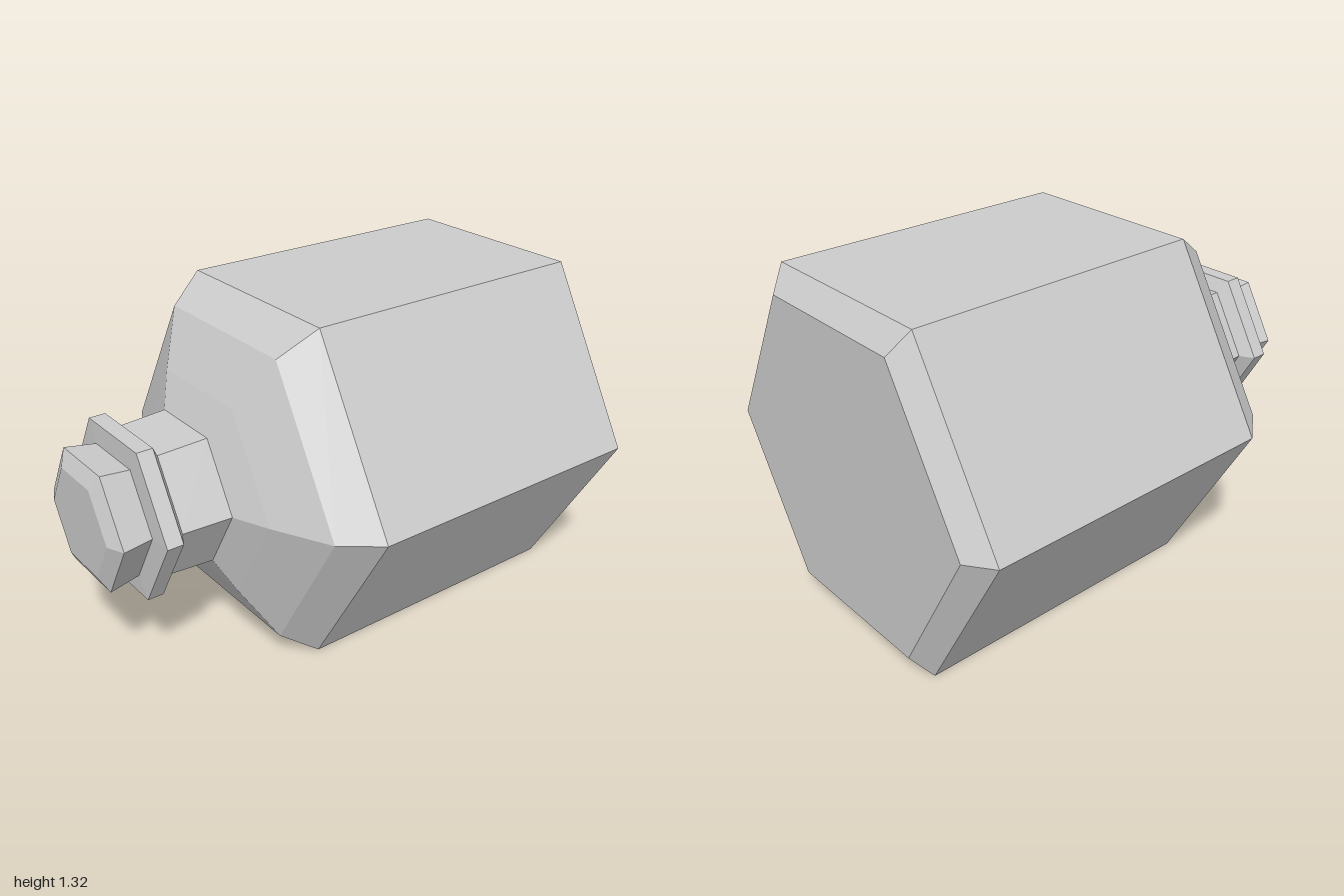
import * as THREE from 'three';

const CENTER_Y = 0.658;

// Each section is a list of [radius, z] running from the base to the mouth.
const SECTIONS = {
  base: [[0, -1], [0.66, -1], [0.76, -0.93]],
  body: [[0.76, -0.93], [0.76, 0.25]],
  shoulder: [[0.76, 0.25], [0.65, 0.39], [0.43, 0.5], [0.29, 0.56]],
  neck: [[0.29, 0.56], [0.28, 0.755]],
  collar: [[0.28, 0.755], [0.338, 0.785], [0.338, 0.848], [0.245, 0.852]],
  mouth: [[0.245, 0.852], [0.265, 0.97], [0.2, 1], [0, 1]],
};

// Six-sided turned section lying along z, with corners at left and right.
function hexSection(name, profile, material) {
  const points = profile.map(([r, z]) => new THREE.Vector2(r, z));
  const geometry = new THREE.LatheGeometry(points, 6, Math.PI / 2).toNonIndexed();
  geometry.rotateX(Math.PI / 2);
  geometry.computeVertexNormals();
  const mesh = new THREE.Mesh(geometry, material);
  mesh.name = name;
  mesh.position.y = CENTER_Y;
  return mesh;
}

export function createModel() {
  const grey = new THREE.MeshStandardMaterial({ color: 0xcccccc, flatShading: true });
  grey.name = 'light grey';

  const bottle = new THREE.Group();
  bottle.name = 'hexagonalBottle';
  for (const [name, profile] of Object.entries(SECTIONS)) {
    bottle.add(hexSection(name, profile, grey));
  }
  return bottle;
}
